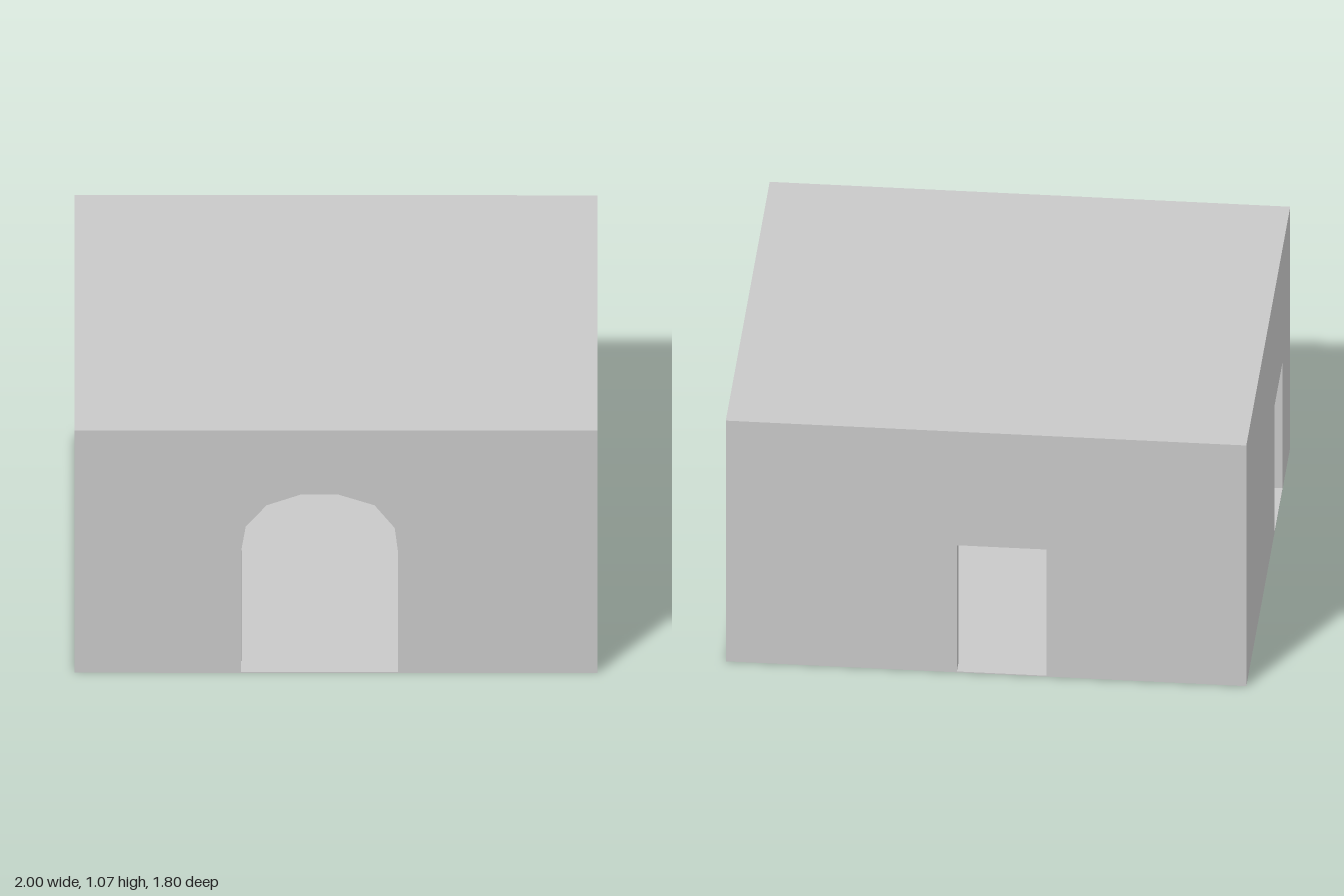
import * as THREE from 'three';

const W = 1, D = 0.9, H = 1.07;          // half width, half depth, full height
const FLOOR = 0.004, CEILING = 0.985;    // floor top and ceiling underside
const FRONT = 0.087, BACK = 0.056, RIGHT = 0.085, LEFT = 0.05; // wall thicknesses

// Rectangular doorway outline, from ground to ground
const door = (a, b) => [[a, FLOOR], [a, 0.565], [b, 0.565], [b, FLOOR]];

// Faceted arch outline
const arch = [
  [-0.362, FLOOR], [-0.362, 0.54], [-0.345, 0.645], [-0.265, 0.74], [-0.135, 0.787],
  [0.01, 0.787], [0.148, 0.74], [0.225, 0.64], [0.237, 0.54], [0.237, FLOOR],
];

// Wall slab with an opening notched out of its bottom edge
function wallGeometry(from, to, opening, thickness) {
  const outline = [[from, FLOOR], ...opening, [to, FLOOR], [to, CEILING], [from, CEILING]];
  const shape = new THREE.Shape(outline.map(([x, y]) => new THREE.Vector2(x, y)));
  return new THREE.ExtrudeGeometry(shape, { depth: thickness, bevelEnabled: false });
}

export function createModel() {
  const group = new THREE.Group();
  group.name = 'house';
  const plaster = new THREE.MeshStandardMaterial({ color: 0xc8c8c8 });
  plaster.name = 'grey plaster';

  function add(name, geometry, x, y, z) {
    const mesh = new THREE.Mesh(geometry, plaster);
    mesh.name = name;
    mesh.position.set(x, y, z);
    group.add(mesh);
  }

  // Floor and roof slabs
  add('floor', new THREE.BoxGeometry(2 * W, FLOOR, 2 * D), 0, FLOOR / 2, 0);
  add('roof', new THREE.BoxGeometry(2 * W, H - CEILING, 2 * D), 0, (H + CEILING) / 2, 0);

  // Front and back walls, full width
  add('frontWall', wallGeometry(-W, W, arch, FRONT), 0, 0, D - FRONT);
  add('backWall', wallGeometry(-W, W, door(-0.232, 0.112), BACK), 0, 0, -D);

  // Side walls fit between them; the outline's x becomes z
  const sideWall = (opening, t) =>
    wallGeometry(-D + BACK, D - FRONT, opening, t).rotateY(-Math.PI / 2);
  add('leftWall', sideWall(door(-0.55, -0.21), RIGHT), W, 0, 0);
  add('rightWall', sideWall(door(0.245, 0.585), LEFT), -W + LEFT, 0, 0);

  return group;
}
